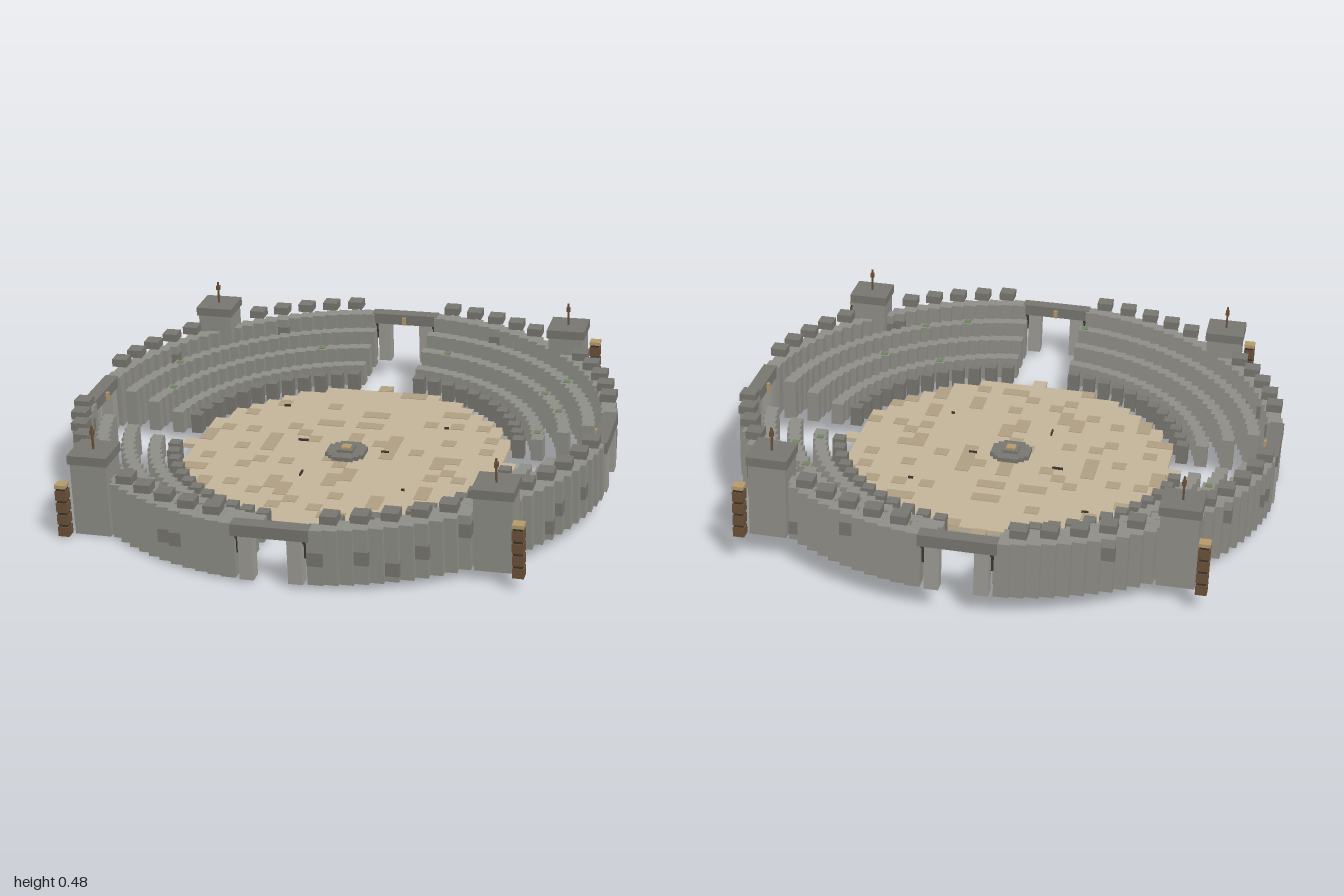
import * as THREE from 'three';
import { mergeGeometries } from 'three/addons/utils/BufferGeometryUtils.js';

const COLORS = {
  stone: 0x8f8e88, darkStone: 0x777670, paleStone: 0x9c9b95, sand: 0xc4b59a, darkSand: 0xb0a083,
  wood: 0x6b5138, lightWood: 0xb59a6a, moss: 0x6f8560, iron: 0x3c352e,
};

// Box given by its centre in plan, its bottom and top, and its widths
function box(x, z, y0, y1, w, d = w) {
  return new THREE.BoxGeometry(w, y1 - y0, d).translate(x, (y0 + y1) / 2, z);
}

function makeRandom(seed) {
  return () => (seed = (seed * 16807) % 2147483647) / 2147483647;
}

export function createModel() {
  const model = new THREE.Group();
  model.name = 'arena';
  const tilted = new THREE.Group();
  tilted.name = 'tiltedArena';
  tilted.rotation.set(0.035, 0, 0.027);
  tilted.position.y = 0.05;
  model.add(tilted);
  const rand = makeRandom(4711);

  const add = (name, color, geometries) => {
    const material = new THREE.MeshStandardMaterial({ color: COLORS[color] });
    const mesh = new THREE.Mesh(mergeGeometries(geometries), material);
    mesh.name = name;
    tilted.add(mesh);
  };

  // Points on a circle, leaving out the four gateways on the axes
  const ringPoints = (radius, count, gap) => {
    const points = [];
    for (let i = 0; i < count; i++) {
      const a = (i / count) * Math.PI * 2;
      const x = radius * Math.sin(a), z = radius * Math.cos(a);
      if (Math.min(Math.abs(x), Math.abs(z)) > gap) points.push([x, z, i]);
    }
    return points;
  };

  // Sand floor on a square grid, one strip per row, with darker slabs
  const cell = 0.051, floor = [], slabs = [];
  for (let j = -12; j <= 12; j++) {
    const half = Math.floor(Math.sqrt(144 - j * j));
    floor.push(box(0, j * cell, 0, 0.018, (2 * half + 1) * cell, cell));
    for (let i = -half; i <= half; i++) {
      if (rand() < 0.17) slabs.push(box(i * cell, j * cell, -0.001, 0.02, cell));
    }
  }
  add('sandFloor', 'sand', floor);
  add('darkFloorSlabs', 'darkSand', slabs);

  // Outer wall of square columns with weathered blocks
  const wall = [], weathered = [];
  for (const [x, z] of ringPoints(0.97, 120, 0.13)) {
    wall.push(box(x, z, 0, 0.203, 0.053));
    if (rand() < 0.3) {
      const y = 0.02 + Math.floor(rand() * 3) * 0.05;
      weathered.push(box(x, z, y, y + 0.05, 0.055));
    }
  }
  add('outerWall', 'stone', wall);
  add('weatheredBlocks', 'darkStone', weathered);

  // Battlements above the wall, interrupted at gates and towers
  add('battlements', 'darkStone', ringPoints(0.97, 60, 0.13)
    .filter(([, , i]) => i % 15 !== 7 && i % 15 !== 8)
    .map(([x, z]) => box(x, z, 0.226, 0.256, 0.058)));

  // Three tiers of seats and the row of barrier blocks
  const moss = [];
  [[0.71, 104, 0.085], [0.805, 116, 0.12], [0.895, 128, 0.155]].forEach(([r, count, h], k) => {
    const seats = ringPoints(r, count, 0.125).map(([x, z]) => {
      if (rand() < 0.05) moss.push(box(x, z, h, h + 0.003, 0.025));
      return box(x, z, 0, h, 0.045);
    });
    add('seatTier' + (k + 1), 'stone', seats);
  });
  add('moss', 'moss', moss);
  add('barrierBlocks', 'darkStone', ringPoints(0.64, 60, 0.1)
    .map(([x, z]) => box(x, z, 0, 0.075, 0.043)));

  // Four gates: lintel, two pillars, hanging ornament and torches
  const lintels = [], pillars = [], ornaments = [], torches = [];
  for (let i = 0; i < 4; i++) {
    const place = (list, ...args) => list.push(box(...args).rotateY(i * Math.PI / 2));
    place(lintels, 0, 0.968, 0.162, 0.205, 0.27, 0.052);
    place(ornaments, 0, 0.937, 0.165, 0.195, 0.014, 0.012);
    for (const s of [-1, 1]) {
      place(pillars, s * 0.085, 0.968, 0, 0.162, 0.05, 0.048);
      place(torches, s * 0.118, 0.968, 0.09, 0.145, 0.008, 0.008);
      place(torches, s * 0.118, 0.968, 0.145, 0.157, 0.015, 0.015);
    }
  }
  add('gateLintels', 'darkStone', lintels);
  add('gatePillars', 'paleStone', pillars);
  add('gateOrnaments', 'lightWood', ornaments);
  add('gateTorches', 'iron', torches);

  // Corner towers with caps and poles, and the banded posts outside them
  const towers = [], caps = [], poles = [], posts = [], bands = [], postTops = [];
  for (const sx of [-1, 1]) for (const sz of [-1, 1]) {
    const x = sx * 0.713, z = sz * 0.713;
    towers.push(box(x, z, 0, 0.27, 0.132));
    caps.push(box(x, z, 0.27, 0.303, 0.145));
    poles.push(box(x, z, 0.303, 0.39, 0.007), box(x, z, 0.358, 0.375, 0.014));
    const px = sx * 0.805, pz = sz * 0.805;
    for (let k = 0; k < 4; k++) {
      posts.push(box(px, pz, 0.008 + k * 0.046, 0.044 + k * 0.046, 0.04));
      bands.push(box(px, pz, 0.044 + k * 0.046, 0.054 + k * 0.046, 0.032));
    }
    postTops.push(box(px, pz, 0.192, 0.205, 0.04));
  }
  add('towers', 'stone', towers);
  add('towerCaps', 'darkStone', caps);
  add('towerPoles', 'wood', poles);
  add('cornerPosts', 'wood', posts);
  add('postBands', 'iron', bands);
  add('postTops', 'lightWood', postTops);

  // Low stepped pedestal in the middle
  add('pedestal', 'darkStone', [
    box(0, 0, 0.018, 0.034, 0.145, 0.08), box(0, 0, 0.018, 0.0339, 0.08, 0.145),
    box(0, 0, 0.018, 0.0338, 0.115), box(0, 0, 0.034, 0.044, 0.06),
  ]);
  add('pedestalTop', 'lightWood', [box(0, 0, 0.044, 0.05, 0.035)]);

  // Sticks lying on the sand
  add('sticks', 'iron', [[-0.34, -0.38, 0.025, 0.006], [-0.19, -0.08, 0.04, 0.006],
    [0.14, -0.03, 0.03, 0.006], [-0.12, 0.2, 0.006, 0.04], [0.32, -0.28, 0.018, 0.006],
    [0.28, 0.27, 0.012, 0.006]].map(([x, z, w, d]) => box(x, z, 0.018, 0.026, w, d)));

  return model;
}
